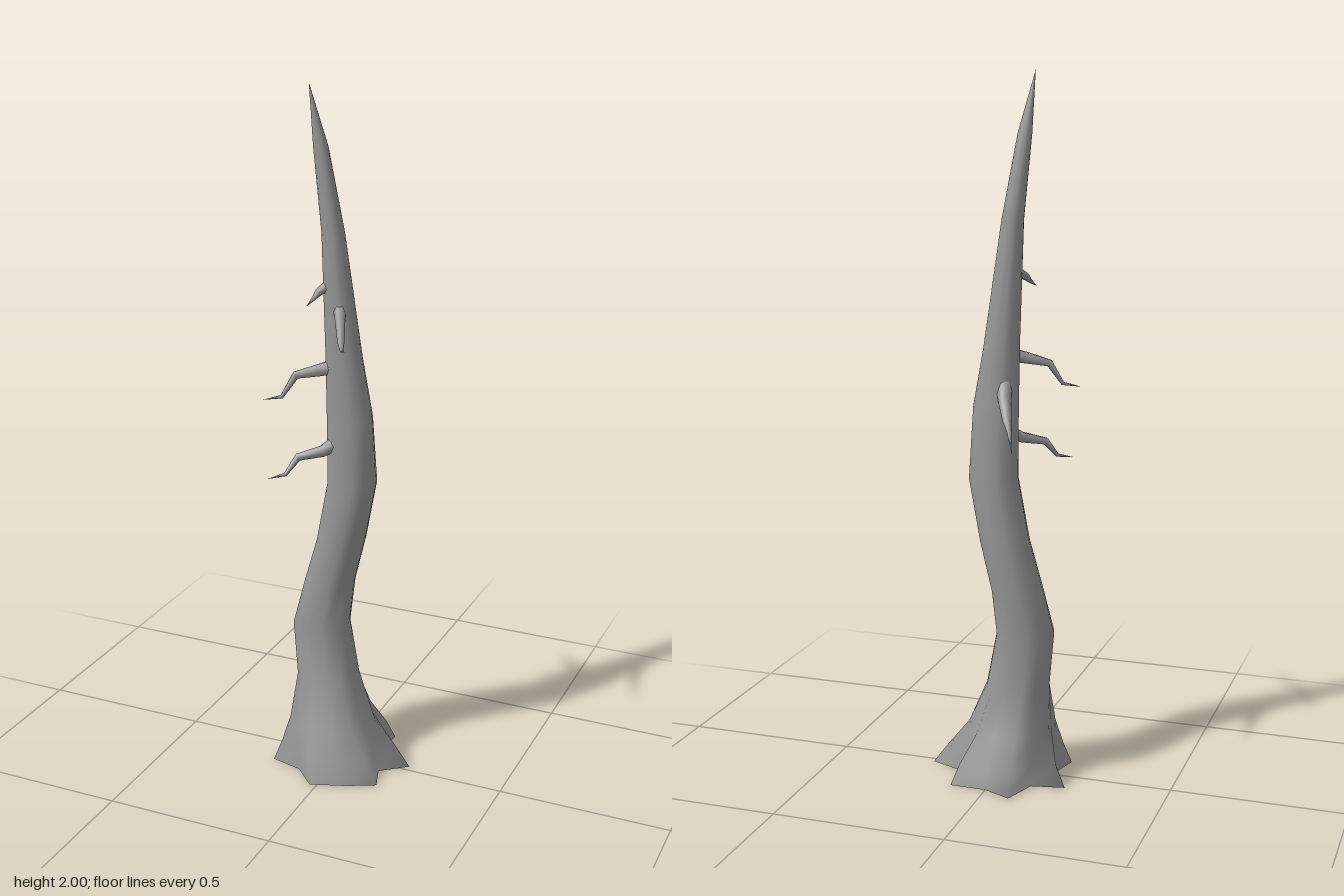
import * as THREE from 'three';

const material = new THREE.MeshStandardMaterial({ color: 0x969696, side: THREE.DoubleSide });

// Skin a list of rings (bottom to top, equal point counts) with smooth normals
function loft(rings, name) {
  const n = rings[0].length, index = [];
  for (let r = 0; r < rings.length - 1; r++) {
    for (let i = 0; i < n; i++) {
      const j = (i + 1) % n;
      const a = r * n + i, b = r * n + j, c = a + n, d = b + n;
      index.push(a, c, b);
      if (r < rings.length - 2) index.push(b, c, d);
    }
  }
  const geometry = new THREE.BufferGeometry().setFromPoints(rings.flat());
  geometry.setIndex(index);
  geometry.computeVertexNormals();
  const mesh = new THREE.Mesh(geometry, material);
  mesh.name = name;
  return mesh;
}

// Root outline on the ground (x, z): tips and hollows alternate
const roots = [
  [0.21, -0.02], [0.135, 0.04], [0.16, 0.115], [0.08, 0.155], [-0.02, 0.19], [-0.085, 0.125], [-0.178, 0.103],
  [-0.15, 0], [-0.21, -0.08], [-0.115, -0.1], [-0.08, -0.2], [0, -0.165], [0.105, -0.165], [0.095, -0.065],
];

// Trunk levels: y, left x, right x, back z, front z, share of the root outline
const levels = [
  [0, -0.2, 0.2, -0.2, 0.19, 1],
  [0.06, -0.14, 0.1, -0.14, 0.14, 0.6],
  [0.14, -0.14, 0.075, -0.112, 0.118, 0.2],
  [0.27, -0.138, 0.045, -0.088, 0.078, 0],
  [0.43, -0.154, 0.012, -0.094, 0.066, 0],
  [0.56, -0.122, 0.022, -0.104, 0.054, 0],
  [0.7, -0.083, 0.055, -0.104, 0.048, 0],
  [0.88, -0.048, 0.092, -0.09, 0.047, 0],
  [1.08, -0.047, 0.084, -0.068, 0.046, 0],
  [1.25, -0.048, 0.055, -0.053, 0.042, 0],
  [1.6, -0.057, 0.004, -0.034, 0.034, 0],
  [1.83, -0.077, -0.036, -0.007, 0.031, 0],
  [2, -0.08, -0.08, 0.034, 0.034, 0],
];

function trunk() {
  const rings = levels.map(([y, x0, x1, z0, z1, share]) => roots.map(([rx, rz], i) => {
    const angle = i / roots.length * Math.PI * 2 - 0.1;
    const cos = Math.sign(Math.cos(angle)) * Math.abs(Math.cos(angle)) ** 0.85; // slightly squared sides
    const x = (x0 + x1) / 2 + (x1 - x0) / 2 * cos;
    const z = (z0 + z1) / 2 + (z1 - z0) / 2 * Math.sin(angle);
    return new THREE.Vector3(x + (rx - x) * share, y, z + (rz - z) * share);
  }));
  return loft(rings, 'trunk');
}

// Tapered crooked branch through a few points
function branch(name, radius, path) {
  const pts = path.map(p => new THREE.Vector3(...p));
  const last = pts.length - 1, sides = 6;
  const rings = pts.map((p, k) => {
    const dir = pts[Math.min(k + 1, last)].clone().sub(pts[Math.max(k - 1, 0)]).normalize();
    const side = new THREE.Vector3(0, 1, 0).cross(dir).normalize();
    const up = side.clone().cross(dir);
    const r = radius * (1 - k / last);
    return Array.from({ length: sides }, (_, i) => {
      const a = i / sides * Math.PI * 2;
      return p.clone().addScaledVector(side, r * Math.cos(a)).addScaledVector(up, r * Math.sin(a));
    });
  });
  return loft(rings, name);
}

export function createModel() {
  const group = new THREE.Group();
  group.name = 'deadTree';
  group.add(
    trunk(),
    branch('frontBranch', 0.019,
      [[-0.01, 1.41, 0], [0.018, 1.375, 0.055], [0.045, 1.33, 0.11], [0.067, 1.322, 0.155], [0.097, 1.335, 0.203]]),
    branch('upperRightBranch', 0.023,
      [[0, 1.23, 0], [-0.06, 1.215, 0.03], [-0.118, 1.2, 0.052], [-0.15, 1.14, 0.075], [-0.2, 1.13, 0.095]]),
    branch('lowerRightBranch', 0.022,
      [[0, 1.015, 0.005], [-0.04, 0.985, 0.045], [-0.1, 0.97, 0.08], [-0.125, 0.925, 0.11], [-0.167, 0.915, 0.14]]),
    branch('backBranch', 0.025,
      [[-0.005, 1.18, -0.015], [-0.025, 1.11, -0.065], [-0.045, 1.06, -0.105], [-0.066, 1.04, -0.15], [-0.092, 0.99, -0.205]]),
    branch('twig', 0.016,
      [[-0.03, 1.46, 0.008], [-0.053, 1.44, 0.04], [-0.06, 1.425, 0.06], [-0.068, 1.41, 0.088]]),
  );
  return group;
}
